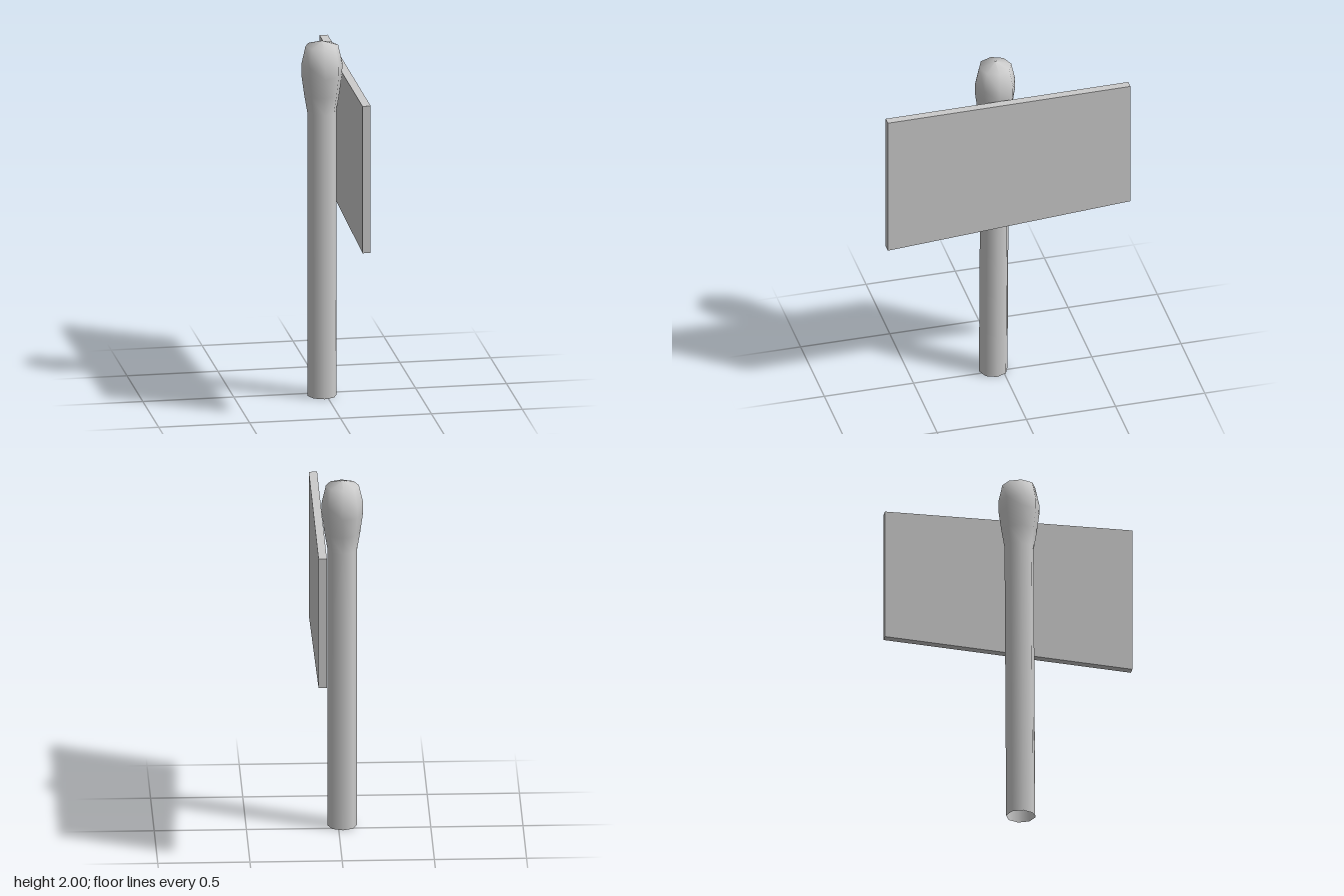
import * as THREE from 'three';

export function createModel() {
  const model = new THREE.Group();

  // Eight-sided post with a swollen, softly pointed head, open underneath
  const profile = [
    [0.08, 0], [0.08, 1.6], [0.097, 1.7], [0.112, 1.81],
    [0.113, 1.87], [0.09, 1.972], [0, 2],
  ].map(([r, y]) => new THREE.Vector2(r, y));
  const postGeometry = new THREE.LatheGeometry(profile, 8);

  // Slight lean of the post from its foot to its head
  const pos = postGeometry.attributes.position;
  for (let i = 0; i < pos.count; i++) {
    pos.setZ(i, pos.getZ(i) + 0.047 - 0.0055 * pos.getY(i));
  }
  const post = new THREE.Mesh(
    postGeometry,
    new THREE.MeshStandardMaterial({ color: 0xcccccc, side: THREE.DoubleSide }),
  );
  post.name = 'post';
  post.position.x = -0.022;
  model.add(post);

  // Sign board with a slanted lower edge, facing sideways
  const outline = new THREE.Shape([
    [-0.68, 0.98], [0.68, 1.07], [0.68, 1.817], [-0.68, 1.81],
  ].map(([x, y]) => new THREE.Vector2(x, y)));
  const boardGeometry = new THREE.ExtrudeGeometry(outline, { depth: 0.045, bevelEnabled: false });
  boardGeometry.rotateY(Math.PI / 2);
  const board = new THREE.Mesh(boardGeometry, new THREE.MeshStandardMaterial({ color: 0xcccccc }));
  board.name = 'signBoard';
  board.position.x = 0.09;
  model.add(board);

  return model;
}
